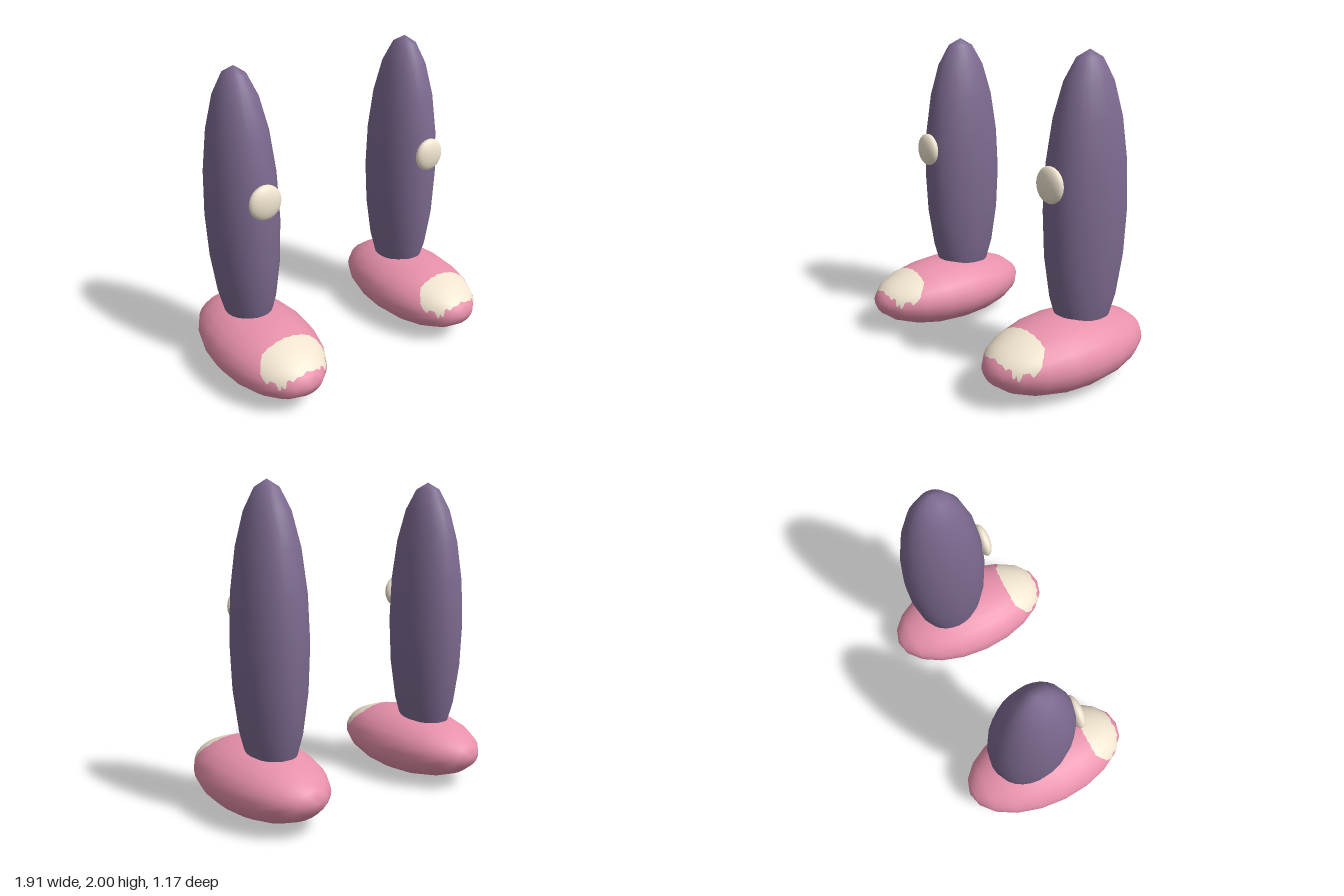
import * as THREE from 'three';

const RINGS = 10, SEGS = 24;
const FOOT = { rx: 0.325, ry: 0.223, rz: 0.585, y: 0.226 };

const purple = new THREE.MeshStandardMaterial({ color: 0x7c6a90 });
const pink = new THREE.MeshStandardMaterial({ color: 0xe891ab });
const cream = new THREE.MeshStandardMaterial({ color: 0xf1e5d0 });
const creamThin = new THREE.MeshStandardMaterial({ color: 0xf1e5d0, side: THREE.DoubleSide });

function ellipsoid(name, material, radii, position, polesAlongZ = false, segs = SEGS, rings = RINGS) {
  const geometry = new THREE.SphereGeometry(1, segs, rings);
  if (polesAlongZ) geometry.rotateX(Math.PI / 2);
  geometry.scale(...radii);
  const mesh = new THREE.Mesh(geometry, material);
  mesh.name = name;
  mesh.position.set(...position);
  return mesh;
}

// How far a faceted arc sits inside its true circle at a given angle
function facet(angle, step) {
  const a = ((angle % step) + step) % step;
  return Math.cos(step / 2) / Math.cos(a - step / 2);
}

// Piecewise-linear outline, mirrored about x = 0
function outline(points, x) {
  const a = Math.abs(x);
  for (let i = 1; i < points.length; i++) {
    const [x0, y0] = points[i - 1], [x1, y1] = points[i];
    if (a <= x1) return y0 + ((y1 - y0) * (a - x0)) / (x1 - x0);
  }
  return points[points.length - 1][1];
}

// Dripping patch that hugs the front top of the foot
function patchGeometry() {
  const upper = [[0, 0.418], [0.06, 0.413], [0.12, 0.398], [0.17, 0.375], [0.2, 0.345], [0.225, 0.3]];
  const lower = [[0, 0.315], [0.04, 0.302], [0.07, 0.3], [0.1, 0.28], [0.113, 0.292], [0.13, 0.282],
    [0.143, 0.24], [0.152, 0.24], [0.158, 0.262], [0.165, 0.226], [0.175, 0.228], [0.18, 0.27],
    [0.2, 0.275], [0.212, 0.255], [0.218, 0.25], [0.225, 0.28]];
  const cols = 120, rows = 14, W = 0.225;
  const positions = new Float32Array((cols + 1) * (rows + 1) * 3), index = [];
  const normals = new Float32Array(positions.length);
  const n = new THREE.Vector3();
  let k = 0;
  for (let i = 0; i <= cols; i++) {
    const x = -W + (2 * W * i) / cols;
    const y0 = outline(lower, x), y1 = outline(upper, x);
    for (let j = 0; j <= rows; j++, k += 3) {
      const u = x / FOOT.rx;
      const v = (y0 + ((y1 - y0) * j) / rows - FOOT.y) / FOOT.ry;
      const w = Math.sqrt(Math.max(0, 1 - u * u - v * v));
      const ring = 1.006 * facet(Math.acos(w), Math.PI / RINGS);
      const side = ring * facet(Math.atan2(v, u), (2 * Math.PI) / SEGS);
      positions.set([u * side * FOOT.rx, v * side * FOOT.ry, w * ring * FOOT.rz], k);
      n.set(u / FOOT.rx, v / FOOT.ry, w / FOOT.rz).normalize().toArray(normals, k);
      if (i < cols && j < rows) {
        const a = i * (rows + 1) + j, b = a + rows + 1;
        index.push(a, b, b + 1, a, b + 1, a + 1);
      }
    }
  }
  const geometry = new THREE.BufferGeometry();
  geometry.setAttribute('position', new THREE.BufferAttribute(positions, 3));
  geometry.setAttribute('normal', new THREE.BufferAttribute(normals, 3));
  geometry.setIndex(index);
  return geometry;
}

function createLeg(name, x) {
  const leg = new THREE.Group();
  leg.name = name;
  leg.position.x = x;

  // Tall shin, its lower end buried in the foot
  leg.add(ellipsoid('shin', purple, [0.212, 0.92, 0.277], [0, 1.08, -0.137]));
  // Round pad on the front of the shin
  leg.add(ellipsoid('kneePad', cream, [0.106, 0.109, 0.045], [0, 1.26, 0.145], true, 24, 16));
  // Long foot with a toe patch
  leg.add(ellipsoid('foot', pink, [FOOT.rx, FOOT.ry, FOOT.rz], [0, FOOT.y, 0], true));
  const patch = new THREE.Mesh(patchGeometry(), creamThin);
  patch.name = 'toePatch';
  patch.position.y = FOOT.y;
  leg.add(patch);
  return leg;
}

export function createModel() {
  const model = new THREE.Group();
  model.name = 'legs';
  model.add(createLeg('leftLeg', 0.631), createLeg('rightLeg', -0.631));
  return model;
}
